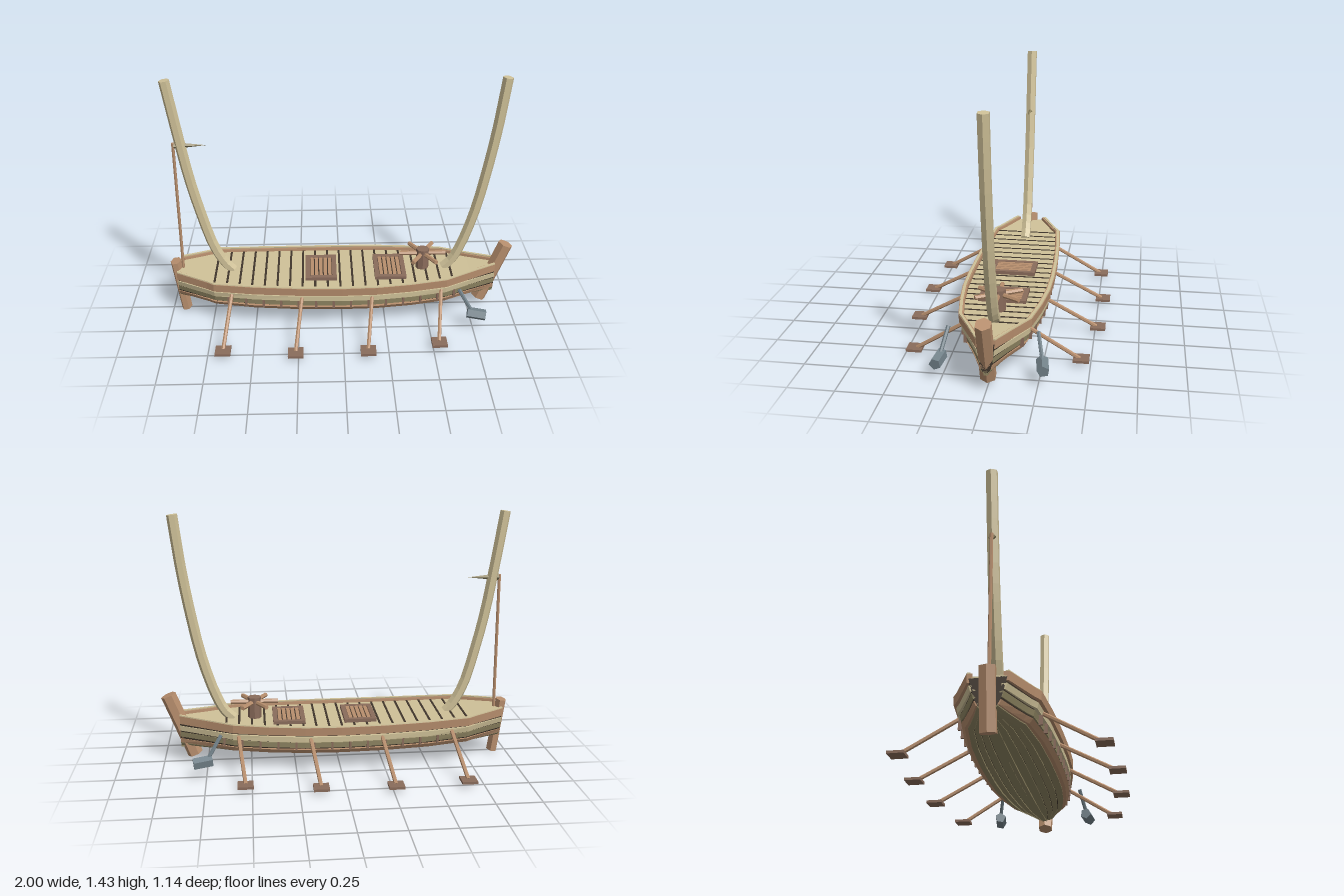
import * as THREE from 'three';

const mat = (name, hex) => {
  const m = new THREE.MeshStandardMaterial({ color: hex, flatShading: true });
  m.name = name;
  return m;
};

// outer half width of the hull at each station along x
const STATIONS = [[-0.95, 0.1], [-0.86, 0.145], [-0.77, 0.19], [-0.73, 0.215], [-0.5, 0.237], [-0.25, 0.25], [0, 0.255],
  [0.2, 0.25], [0.4, 0.228], [0.6, 0.195], [0.75, 0.12], [0.9, 0.05]];
const sheer = x => 0.032 * x * x;
function halfWidth(x) {
  let i = 0;
  while (i < STATIONS.length - 2 && x > STATIONS[i + 1][0]) i++;
  const [xa, wa] = STATIONS[i], [xb, wb] = STATIONS[i + 1];
  return wa + (wb - wa) * (x - xa) / (xb - xa);
}
// hull point at a fraction of the half width; low points draw in at the ends
function hullPoint(x, f, y, inset = 0) {
  const taper = 1 - 0.8 * Math.max(0, 1 - y / 0.22) * x ** 4;
  return [x, y + sheer(x), Math.max(0, halfWidth(x) * f * taper - inset)];
}

// solid skin over a row of equal cross-sections, capped at both ends
function loft(rings) {
  const pos = [], n = rings[0].length;
  const tri = (a, b, c) => pos.push(...a, ...b, ...c);
  for (let i = 0; i < rings.length - 1; i++) {
    for (let j = 0; j < n; j++) {
      const k = (j + 1) % n, A = rings[i], B = rings[i + 1];
      tri(A[j], B[j], B[k]);
      tri(A[j], B[k], A[k]);
    }
  }
  const first = rings[0], last = rings[rings.length - 1];
  for (let j = 1; j < n - 1; j++) {
    tri(first[0], first[j], first[j + 1]);
    tri(last[0], last[j + 1], last[j]);
  }
  const g = new THREE.BufferGeometry();
  g.setAttribute('position', new THREE.Float32BufferAttribute(pos, 3));
  g.computeVertexNormals();
  return g;
}
const mirrorZ = ring => ring.map(([x, y, z]) => [x, y, -z]).reverse();

export function createModel() {
  const cream = mat('pale timber', 0xcfc198);
  const tan = mat('tan timber', 0xb88f6e);
  const brown = mat('brown timber', 0x8a6c5b);
  const olive = mat('weathered planking', 0x8f8562);
  const dark = mat('dark seams', 0x40362c);
  const steel = mat('grey iron', 0x74838b);

  const model = new THREE.Group();
  const add = (name, geometry, material, parent = model) => {
    const m = new THREE.Mesh(geometry, material);
    m.name = name;
    parent.add(m);
    return m;
  };
  const box = (name, size, at, material, parent) => {
    const m = add(name, new THREE.BoxGeometry(...size), material, parent);
    m.position.set(...at);
    return m;
  };
  // straight bar between two points
  const bar = (name, a, b, r, sides, material, parent) => {
    const from = new THREE.Vector3(...a), to = new THREE.Vector3(...b);
    const m = add(name, new THREE.CylinderGeometry(r, r, from.distanceTo(to), sides), material, parent);
    m.position.copy(from).add(to).multiplyScalar(0.5);
    m.quaternion.setFromUnitVectors(new THREE.Vector3(0, 1, 0), to.sub(from).normalize());
    return m;
  };

  // hull body beneath the planking
  const section = [[0.35, 0.08], [0.68, 0.098], [0.84, 0.13], [0.87, 0.2], [0.9, 0.238]];
  add('hullBody', loft(STATIONS.map(([x]) => {
    const side = section.map(([f, y]) => hullPoint(x, f, y));
    return [hullPoint(x, 0, 0.078), ...side, ...mirrorZ(side)];
  })), dark);

  // long planks on both sides: bottom fraction and height, top fraction and height, thickness
  const strakes = [
    ['bottomPlank', 0.06, 0.07, 0.24, 0.074, 0.02, olive],
    ['bottomPlank', 0.26, 0.073, 0.42, 0.079, 0.02, olive],
    ['bottomPlank', 0.44, 0.078, 0.58, 0.086, 0.02, olive],
    ['bilgePlank', 0.6, 0.083, 0.74, 0.095, 0.02, olive],
    ['lowerWale', 0.82, 0.1, 0.89, 0.125, 0.03, tan],
    ['sidePlank', 0.885, 0.136, 0.89, 0.166, 0.02, olive],
    ['upperSidePlank', 0.94, 0.174, 0.94, 0.204, 0.025, cream],
    ['rail', 0.985, 0.216, 1, 0.262, 0.028, tan],
    ['railCap', 0.985, 0.262, 0.98, 0.268, 0.016, cream],
  ];
  for (const [name, f0, y0, f1, y1, t, material] of strakes) {
    const bottom = y0 < 0.095;
    const rings = STATIONS.map(([x]) => {
      const lo = hullPoint(x, f0, y0), hi = hullPoint(x, f1, y1);
      const shift = ([px, py, pz]) => (bottom ? [px, py + t, pz] : [px, py, Math.max(0.002, pz - t)]);
      return bottom ? [lo, hi, shift(hi), shift(lo)] : [shift(lo), lo, hi, shift(hi)];
    });
    add(name + 'Left', loft(rings), material);
    add(name + 'Right', loft(rings.map(mirrorZ)), material);
  }
  const keelRings = STATIONS.map(([x]) => [[x, 0.066 + sheer(x), -0.012], [x, 0.066 + sheer(x), 0.012],
    [x, 0.09 + sheer(x), 0.012], [x, 0.09 + sheer(x), -0.012]]);
  add('keel', loft(keelRings), olive);

  // deck with dark seams between the planks
  add('deck', loft(STATIONS.map(([x]) => {
    const lo = hullPoint(x, 0.87, 0.236), hi = hullPoint(x, 0.87, 0.246);
    return [...mirrorZ([lo]), lo, hi, ...mirrorZ([hi])];
  })), cream);
  for (let i = 0; i < 20; i++) {
    const x = -0.73 + i * 0.072;
    box('deckSeam', [0.012, 0.004, halfWidth(x) * 1.74], [x, 0.246 + sheer(x), 0], dark);
  }

  // short uprights along the sides
  for (const s of [-1, 1]) {
    for (let x = -0.65; x < 0.66; x += 0.1) {
      box('sidePost', [0.012, 0.05, 0.02], [x, 0.15 + sheer(x), s * (halfWidth(x) * 0.9 - 0.004)], brown);
    }
  }

  // stem and stern posts
  const stem = bar('stemPost', [0.822, 0.045, 0], [0.962, 0.4, 0], 0.044, 6, tan);
  stem.geometry.rotateY(Math.PI / 2);
  const stern = bar('sternPost', [-0.922, 0.004, 0], [-0.967, 0.317, 0], 0.034, 6, tan);
  stern.geometry.rotateY(Math.PI / 2).scale(0.9, 1, 1.3);

  // tall curved end timbers, six sided
  const endTimber = (name, points) => {
    const curve = new THREE.CatmullRomCurve3(points.map(([x, y]) => new THREE.Vector3(x, y, 0)));
    const rings = [];
    for (let i = 0; i <= 14; i++) {
      const p = curve.getPoint(i / 14), t = curve.getTangent(i / 14);
      rings.push(Array.from({ length: 6 }, (_, k) => {
        const a = Math.PI / 6 + k * Math.PI / 3, n = 0.03 * Math.sin(a);
        return [p.x - t.y * n, p.y + t.x * n, 0.032 * Math.cos(a)];
      }));
    }
    add(name, loft(rings), cream);
  };
  endTimber('sternTimber', [[-0.635, 0.255], [-0.68, 0.305], [-0.74, 0.42], [-0.8, 0.63], [-0.85, 0.845], [-0.895, 1.11], [-0.944, 1.42]]);
  endTimber('bowTimber', [[0.6, 0.255], [0.65, 0.305], [0.705, 0.42], [0.77, 0.63], [0.815, 0.845], [0.86, 1.11], [0.898, 1.42]]);

  // staff with a pointed pennant
  bar('staff', [-0.925, 0.25, 0], [-0.925, 1.06, 0], 0.009, 6, tan);
  const pennant = add('pennant', new THREE.ConeGeometry(0.02, 0.18, 4), olive);
  pennant.rotation.z = -Math.PI / 2;
  pennant.position.set(-0.83, 1.046, 0);

  // slatted hatches
  for (const x of [-0.12, 0.283]) {
    const hatch = new THREE.Group();
    hatch.name = 'hatch';
    hatch.position.set(x, 0.256, 0);
    model.add(hatch);
    box('hatchBase', [0.17, 0.008, 0.25], [0, -0.004, 0], dark, hatch);
    for (const s of [-1, 1]) {
      box('hatchSide', [0.026, 0.022, 0.264], [s * 0.078, 0, 0], brown, hatch);
      box('hatchEnd', [0.13, 0.022, 0.028], [0, 0, s * 0.118], brown, hatch);
    }
    for (let i = -2; i <= 2; i++) box('hatchSlat', [0.02, 0.01, 0.21], [i * 0.026, 0.004, 0], tan, hatch);
  }

  // capstan with six bars
  bar('capstanDrum', [0.477, 0.24, 0], [0.477, 0.375, 0], 0.038, 8, brown);
  for (let i = 0; i < 6; i++) {
    const a = i * Math.PI / 3, c = Math.cos(a), s = Math.sin(a);
    bar('capstanBar', [0.477 + 0.03 * c, 0.347, 0.03 * s], [0.477 + 0.135 * c, 0.347, 0.135 * s], 0.013, 6, tan);
  }

  // oars with flat square feet, and hanging weights at the bow
  const oars = [[-0.665, 0.497], [-0.265, 0.527], [0.135, 0.517], [0.535, 0.45]];
  for (const s of [-1, 1]) {
    for (const [x, z] of oars) {
      const rise = 0.195 + sheer(x);
      bar('oarShaft', [x + 0.035, rise, s * (halfWidth(x) - 0.025)], [x, 0.03, s * (z - 0.01)], 0.011, 6, tan);
      box('oarFoot', [0.085, 0.014, 0.085], [x, 0.028, s * z], brown);
    }
    bar('weightArm', [0.665, 0.235, s * 0.235], [0.74, 0.11, s * 0.265], 0.011, 6, steel);
    bar('weight', [0.715, 0.1, s * 0.262], [0.818, 0.088, s * 0.278], 0.033, 5, steel);
  }
  return model;
}
